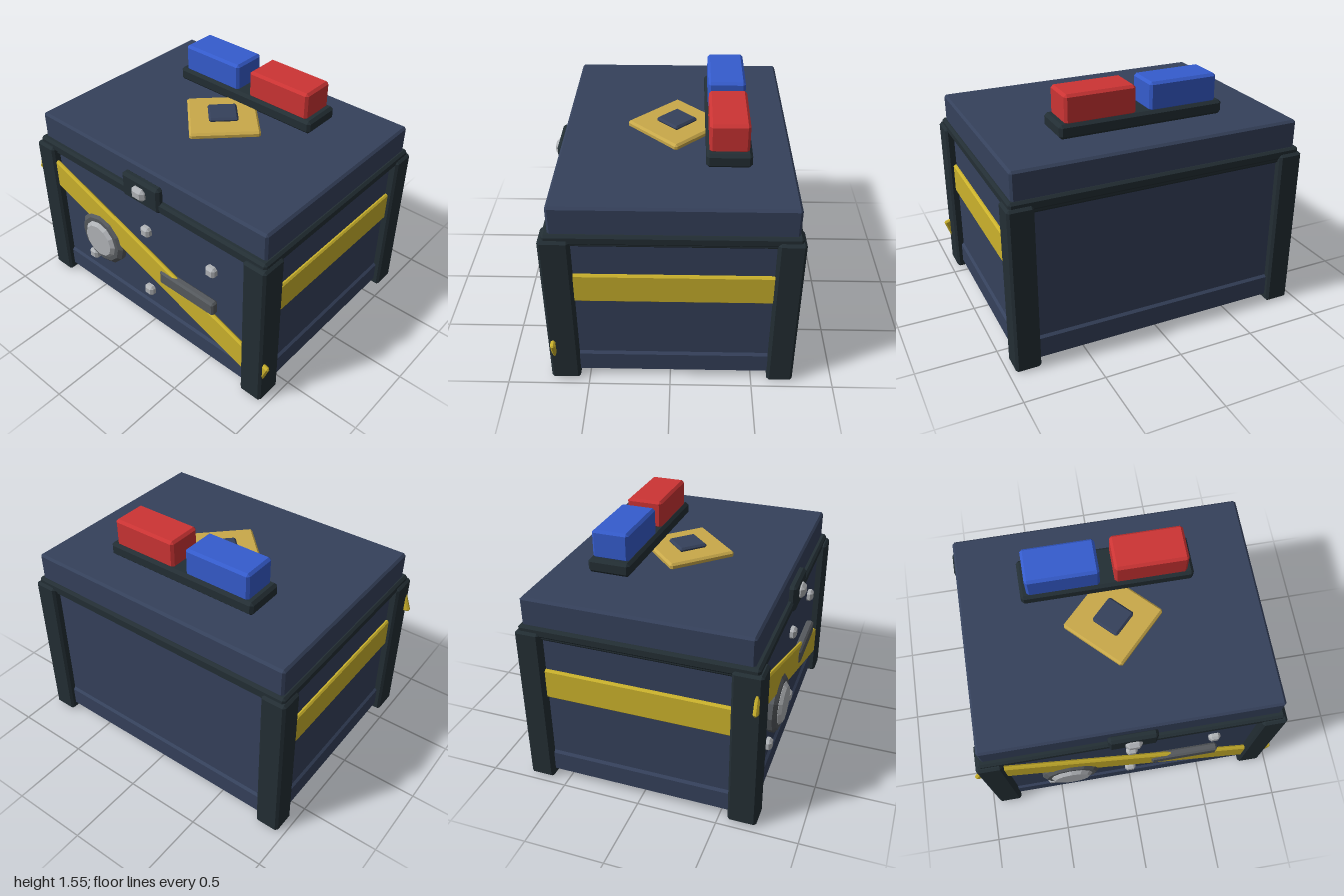
import * as THREE from 'three';
import { ConvexGeometry } from 'three/addons/geometries/ConvexGeometry.js';

const mat = (name, color) => new THREE.MeshStandardMaterial({ name, color });

// Box with chamfered edges and corners, flat shaded
function chamferBox(w, h, d, c) {
  const pts = [];
  for (const sx of [-1, 1]) for (const sy of [-1, 1]) for (const sz of [-1, 1]) {
    const [x, y, z] = [w / 2, h / 2, d / 2];
    pts.push(new THREE.Vector3(sx * x, sy * (y - c), sz * (z - c)));
    pts.push(new THREE.Vector3(sx * (x - c), sy * y, sz * (z - c)));
    pts.push(new THREE.Vector3(sx * (x - c), sy * (y - c), sz * z));
  }
  return new ConvexGeometry(pts);
}

// Faceted disc with a chamfered front rim, facing +z
function facetedDisc(radius, faceRadius, depth, bevel, sides) {
  const profile = [[0, 0], [radius, 0], [radius, depth - bevel], [faceRadius, depth], [0, depth]]
    .map(([x, y]) => new THREE.Vector2(x, y));
  const g = new THREE.LatheGeometry(profile, sides).toNonIndexed();
  g.rotateX(Math.PI / 2);
  g.computeVertexNormals();
  return g;
}

export function createModel() {
  const group = new THREE.Group();
  const navy = mat('navy', 0x35415b);
  const trim = mat('darkTrim', 0x232e34);
  const yellow = mat('yellow', 0xcbb22c);
  const gold = mat('gold', 0xc9a94a);
  const steel = mat('darkSteel', 0x55595d);
  const silver = mat('silver', 0xafb2b6);
  const red = mat('red', 0xcc3434);
  const blue = mat('blue', 0x355ccd);

  const add = (name, geometry, material, x, y, z) => {
    const m = new THREE.Mesh(geometry, material);
    m.name = name;
    m.position.set(x, y, z);
    group.add(m);
    return m;
  };
  // Chamfered box given by its extents on each axis
  const box = (name, material, [x0, x1], [y0, y1], [z0, z1], c = 0.012) =>
    add(name, chamferBox(x1 - x0, y1 - y0, z1 - z0, c), material,
      (x0 + x1) / 2, (y0 + y1) / 2, (z0 + z1) / 2);

  // Chest body, plinth, rim and lid
  box('body', navy, [-0.905, 0.905], [0.05, 1.04], [-0.705, 0.68]);
  box('plinth', navy, [-0.92, 0.92], [0.03, 0.195], [-0.72, 0.695], 0.02);
  box('lowerRim', trim, [-0.925, 0.925], [1.005, 1.07], [-0.725, 0.7], 0.015);
  box('upperRim', trim, [-0.942, 0.942], [1.03, 1.097], [-0.738, 0.712], 0.015);
  box('lid', navy, [-0.92, 0.92], [1.07, 1.27], [-0.718, 0.679], 0.014);

  // Corner posts and side bands
  for (const s of [-1, 1]) {
    const px = s > 0 ? [0.8, 0.958] : [-0.958, -0.8];
    box('frontPost', trim, px, [0, 1.063], [0.557, 0.735], 0.015);
    box('backPost', trim, px, [0, 1.063], [-0.755, -0.598], 0.015);
    const bx = s > 0 ? [0.88, 0.925] : [-0.925, -0.88];
    box('sideBand', yellow, bx, [0.605, 0.803], [-0.68, 0.65], 0.01);
  }

  // Diagonal front stripe
  const stripe = add('frontStripe', chamferBox(2.058, 0.19, 0.03, 0.01), yellow, 0, 0.568, 0.705);
  stripe.rotation.z = -THREE.MathUtils.degToRad(20);

  // Round dial
  add('dialRing', facetedDisc(0.192, 0.165, 0.06, 0.02, 12), steel, -0.405, 0.525, 0.675);
  add('dialFace', facetedDisc(0.137, 0.115, 0.06, 0.02, 12), silver, -0.405, 0.525, 0.697);

  // Handle bar and bolts
  box('handle', steel, [0.135, 0.58], [0.475, 0.572], [0.68, 0.733], 0.012);
  for (const [x, y] of [[0, 0.795], [0.537, 0.795], [-0.54, 0.3], [0, 0.3]])
    add('bolt', chamferBox(0.073, 0.073, 0.06, 0.016), silver, x, y, 0.688);

  // Latch
  box('latchPlate', trim, [-0.153, 0.153], [1.02, 1.196], [0.665, 0.724], 0.018);
  box('latchButton', silver, [-0.052, 0.052], [1.066, 1.152], [0.69, 0.755], 0.022);

  // Diamond emblem on the lid
  const diamond = add('diamondPlate', chamferBox(0.44, 0.045, 0.44, 0.013), gold, 0, 1.2825, -0.022);
  const centre = add('diamondCentre', chamferBox(0.185, 0.03, 0.185, 0.012), navy, 0, 1.316, -0.022);
  diamond.rotation.y = centre.rotation.y = Math.PI / 4;

  // Light bar
  box('lightBarBase', trim, [-0.535, 0.535], [1.288, 1.377], [-0.467, -0.2], 0.018);
  box('blueLight', blue, [-0.495, -0.045], [1.365, 1.547], [-0.45, -0.217], 0.016);
  box('redLight', red, [0.045, 0.495], [1.365, 1.547], [-0.45, -0.217], 0.016);

  return group;
}
